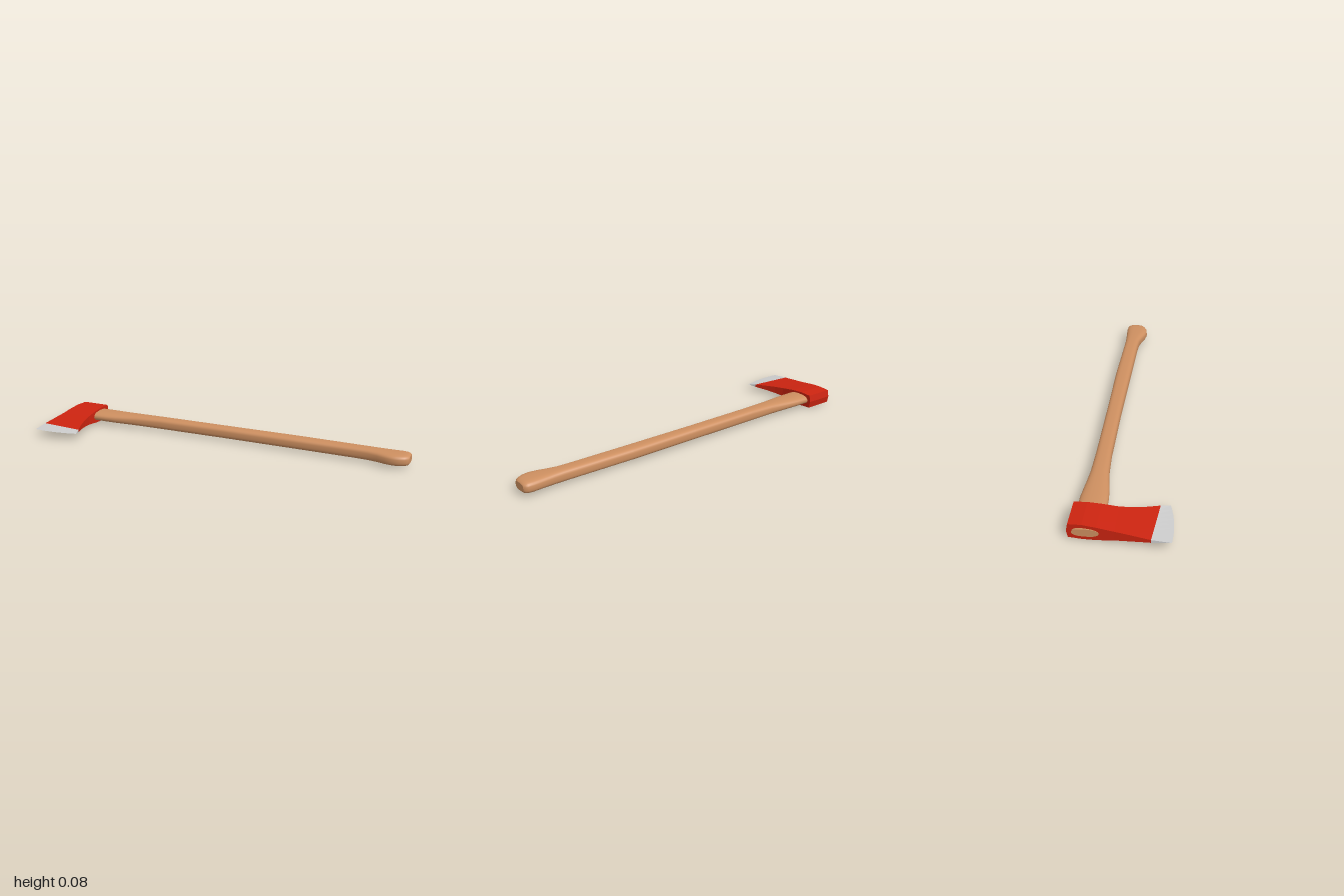
import * as THREE from 'three';

const MID = 0.0415; // height of the axe's middle plane

// Skin a list of closed rings; optional fan caps at both ends.
function loft(rings, caps) {
  const n = rings[0].length, pos = rings.flat(2), idx = [];
  for (let i = 0; i < rings.length - 1; i++) {
    for (let j = 0; j < n; j++) {
      const k = (j + 1) % n;
      const a = i * n + j, b = i * n + k, c = b + n, d = a + n;
      idx.push(a, d, c, a, c, b);
    }
  }
  if (caps) {
    [rings[0], rings[rings.length - 1]].forEach((ring, e) => {
      const base = pos.length / 3;
      pos.push(...ring.flat());
      pos.push(...[0, 1, 2].map((q) => ring.reduce((s, p) => s + p[q], 0) / n));
      for (let j = 0; j < n; j++) {
        const a = base + j, b = base + (j + 1) % n;
        if (e === 0) idx.push(a, b, base + n);
        else idx.push(b, a, base + n);
      }
    });
  }
  const geo = new THREE.BufferGeometry();
  geo.setAttribute('position', new THREE.Float32BufferAttribute(pos, 3));
  geo.setIndex(idx);
  return geo;
}

// Head cross-section: left x, left z, right x, right z, half thickness, forward bulge.
function headRing([xl, zl, xr, zr, h, bulge = 0]) {
  const cols = 8, top = [], bottom = [];
  for (let i = 0; i <= cols; i++) {
    const u = i / cols;
    const x = xl + (xr - xl) * u;
    const z = zl + (zr - zl) * u + bulge * 4 * u * (1 - u);
    top.push([x, MID + h, z]);
    bottom.unshift([x, MID - h, z]);
  }
  return [...top, ...bottom];
}

function headPart(name, sections, color) {
  const geo = loft(sections.map(headRing), false).toNonIndexed();
  geo.computeVertexNormals();
  const mesh = new THREE.Mesh(geo, new THREE.MeshStandardMaterial({ color, flatShading: true }));
  mesh.name = name;
  return mesh;
}

// Rounded-rectangle handle section between z0 and z1 with half height h.
function handleRing([x, z0, z1, h, power = 3]) {
  const ring = [], n = 32;
  const round = (v) => Math.sign(v) * Math.pow(Math.abs(v), 2 / power);
  for (let j = 0; j < n; j++) {
    const t = (j / n) * Math.PI * 2;
    ring.push([x, MID + 0.002 + h * round(Math.sin(t)), (z0 + z1) / 2 + ((z1 - z0) / 2) * round(Math.cos(t))]);
  }
  return ring;
}

export function createModel() {
  const group = new THREE.Group();
  group.name = 'axe';

  // Painted head: peaked poll, widest at the eye, flaring toward the bit
  const bitStart = [-1.0, 0.14, -0.765, 0.16, 0.0075];
  group.add(headPart('axeHead', [
    [-0.97, -0.235, -0.815, -0.235, 0],
    [-0.97, -0.228, -0.815, -0.228, 0.036],
    [-0.973, -0.165, -0.815, -0.165, 0.0395],
    [-0.979, -0.1, -0.815, -0.1, 0.035],
    [-0.984, -0.02, -0.813, -0.02, 0.0245],
    [-0.989, 0.035, -0.804, 0.035, 0.019],
    [-0.994, 0.085, -0.79, 0.09, 0.0135],
    bitStart,
  ], 0xcc2410));

  // Bare ground cutting edge
  group.add(headPart('cuttingEdge', [
    bitStart,
    [-1.0, 0.23, -0.75, 0.205, 0, 0.012],
  ], 0xcccccc));

  // Wooden handle with swollen neck and hooked knob
  const handleGeo = loft([
    [-0.981, -0.21, -0.09, 0.02, 2.4],
    [-0.9, -0.212, -0.085, 0.023, 2.4],
    [-0.815, -0.214, -0.078, 0.026, 2.4],
    [-0.74, -0.213, -0.08, 0.027, 2.4],
    [-0.68, -0.208, -0.086, 0.028, 2.5],
    [-0.62, -0.202, -0.096, 0.029, 2.6],
    [-0.55, -0.197, -0.106, 0.03, 2.7],
    [-0.4, -0.195, -0.116, 0.031],
    [0, -0.2, -0.122, 0.031],
    [0.4, -0.207, -0.122, 0.031],
    [0.72, -0.204, -0.122, 0.031],
    [0.79, -0.204, -0.119, 0.031],
    [0.84, -0.206, -0.107, 0.031],
    [0.88, -0.209, -0.094, 0.031],
    [0.92, -0.212, -0.087, 0.031],
    [0.955, -0.214, -0.092, 0.031],
    [0.98, -0.212, -0.103, 0.029],
    [0.993, -0.206, -0.113, 0.026],
    [1.0, -0.195, -0.125, 0.019],
  ].map(handleRing), true);
  handleGeo.computeVertexNormals();
  const handle = new THREE.Mesh(handleGeo, new THREE.MeshStandardMaterial({ color: 0xcd8f60 }));
  handle.name = 'handle';
  group.add(handle);

  return group;
}
